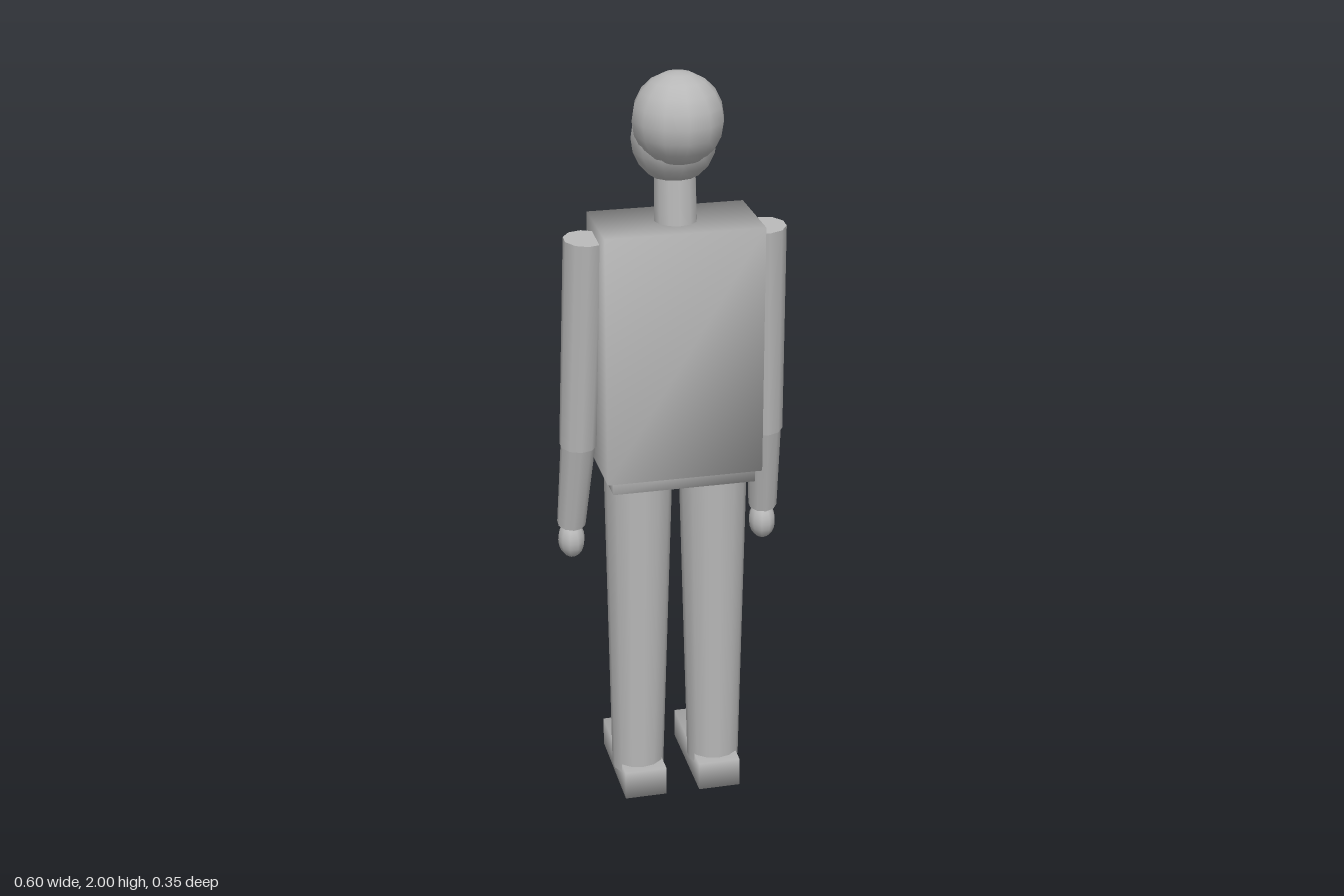
import * as THREE from 'three';
import { mergeVertices } from 'three/addons/utils/BufferGeometryUtils.js';

export function createModel() {
  const model = new THREE.Group();
  model.name = 'mannequin';
  const grey = new THREE.MeshStandardMaterial({ color: 0xb8b8b8 });
  grey.name = 'plain grey';

  function add(name, geometry, parent = model) {
    const mesh = new THREE.Mesh(geometry, grey);
    mesh.name = name;
    parent.add(mesh);
    return mesh;
  }

  // Box from its limits, with normals shared across the corners
  function softBox(name, x0, x1, y0, y1, z0, z1, parent) {
    let g = new THREE.BoxGeometry(x1 - x0, y1 - y0, z1 - z0);
    g.deleteAttribute('normal');
    g.deleteAttribute('uv');
    g = mergeVertices(g);
    g.computeVertexNormals();
    g.translate((x0 + x1) / 2, (y0 + y1) / 2, (z0 + z1) / 2);
    return add(name, g, parent);
  }

  // Tapered cylinder between two points
  function limb(name, top, bottom, rTop, rBottom, sides, parent) {
    const a = new THREE.Vector3(...top), b = new THREE.Vector3(...bottom);
    const axis = a.clone().sub(b);
    const mesh = add(name, new THREE.CylinderGeometry(rTop, rBottom, axis.length(), sides), parent);
    mesh.position.copy(a).add(b).multiplyScalar(0.5);
    mesh.quaternion.setFromUnitVectors(new THREE.Vector3(0, 1, 0), axis.normalize());
    return mesh;
  }

  function ball(name, centre, radii, sides, parent) {
    const mesh = add(name, new THREE.SphereGeometry(1, sides, 10), parent);
    mesh.position.set(...centre);
    mesh.scale.set(...radii);
    return mesh;
  }

  // Head, neck and body; the face points to -z
  ball('hair', [0, 1.882, 0.054], [0.116, 0.118, 0.119], 12);
  ball('face', [0, 1.827, 0.012], [0.11, 0.118, 0.112], 12);
  limb('neck', [0, 1.76, 0.018], [0, 1.59, 0.032], 0.053, 0.055, 12);
  softBox('torso', -0.204, 0.204, 0.955, 1.615, -0.085, 0.143);
  softBox('hips', -0.188, 0.188, 0.922, 1.0, 0.075, 0.133);

  // Arms and legs, mirrored left and right
  for (const s of [1, -1]) {
    const side = s > 0 ? 'left' : 'right';
    const arm = new THREE.Group();
    arm.name = side + 'Arm';
    limb('upperArm', [s * 0.232, 1.583, 0.03], [s * 0.25, 1.008, -0.013], 0.055, 0.049, 10, arm);
    limb('forearm', [s * 0.249, 1.03, -0.01], [s * 0.263, 0.762, -0.06], 0.046, 0.038, 10, arm);
    ball('hand', [s * 0.263, 0.714, -0.063], [0.036, 0.051, 0.044], 10, arm);

    const leg = new THREE.Group();
    leg.name = side + 'Leg';
    limb('trouserLeg', [s * 0.1, 1.0, 0.03], [s * 0.106, 0.055, 0.03], 0.091, 0.07, 14, leg);
    softBox('foot', s * 0.103 - 0.057, s * 0.103 + 0.057, 0, 0.08, -0.177, 0.122, leg);
    model.add(arm, leg);
  }
  return model;
}
